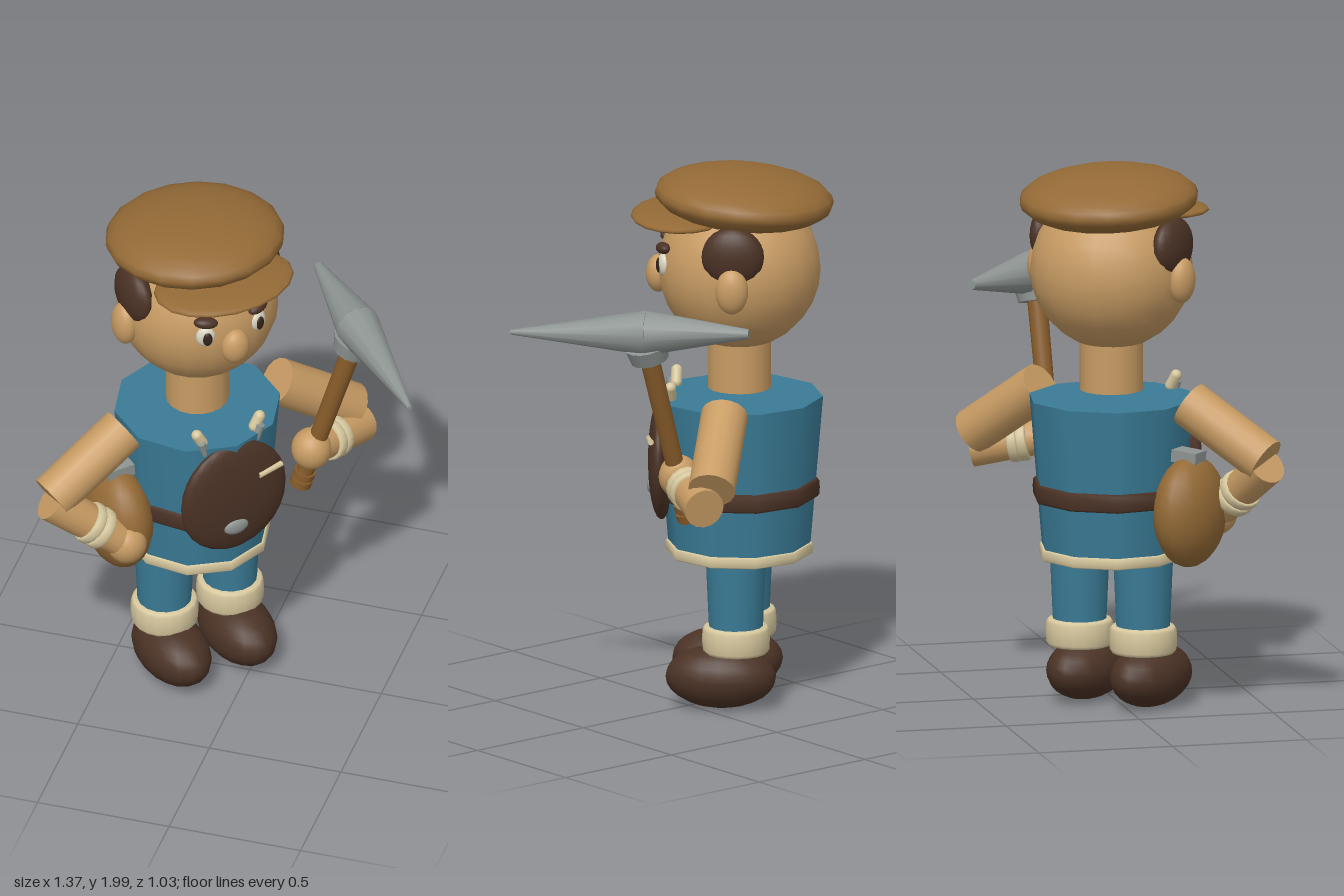
import * as THREE from 'three';

const mat = (name, color) => {
  const m = new THREE.MeshStandardMaterial({ color });
  m.name = name;
  return m;
};

export function createModel() {
  const skin = mat('skin', 0xc79b63);
  const capBrown = mat('capBrown', 0x946a36);
  const blue = mat('blue', 0x3a7b96);
  const leather = mat('leather', 0x4b3225);
  const cream = mat('cream', 0xd6c79d);
  const steel = mat('steel', 0x8d9492);
  const wood = mat('wood', 0x885c2a);
  const eyeWhite = mat('eyeWhite', 0xd9d4c2);
  const dark = mat('dark', 0x35231b);

  const model = new THREE.Group();
  const body = new THREE.Group();
  body.name = 'figure';
  body.position.set(-0.21, 0, -0.035);
  body.rotation.y = Math.PI / 4;
  model.add(body);

  const V = (a) => new THREE.Vector3(...a);
  const add = (name, geometry, material, pos = [0, 0, 0], rot = [0, 0, 0]) => {
    const m = new THREE.Mesh(geometry, material);
    m.name = name;
    m.position.set(...pos);
    m.rotation.set(...rot);
    body.add(m);
    return m;
  };
  // ellipsoid with three radii
  const ball = (name, material, pos, r, rot, seg = 18) =>
    add(name, new THREE.SphereGeometry(1, seg, 14).scale(...r), material, pos, rot);
  // tapered cylinder from point a to point b
  const rod = (name, material, a, b, ra, rb, seg = 16) => {
    const p = V(a), d = V(b).sub(p);
    const m = add(name, new THREE.CylinderGeometry(rb, ra, d.length(), seg), material);
    m.position.copy(p).addScaledVector(d, 0.5);
    m.quaternion.setFromUnitVectors(new THREE.Vector3(0, 1, 0), d.normalize());
    return m;
  };
  // closed ring with a rounded section: radius, half thickness, half height
  const ringGeo = (r, t, h, seg) => {
    const pts = [];
    for (let i = 0; i <= 12; i++) {
      const a = -Math.PI + (i / 12) * Math.PI * 2;
      const sq = (v) => Math.sign(v) * Math.sqrt(Math.abs(v));
      pts.push(new THREE.Vector2(r + t * sq(Math.cos(a)), h * sq(Math.sin(a))));
    }
    return new THREE.LatheGeometry(pts, seg);
  };

  // torso
  add('shirt', new THREE.CylinderGeometry(0.306, 0.258, 0.575, 10), blue, [0, 0.863, 0]);
  add('shirtHem', ringGeo(0.25, 0.02, 0.022, 10), cream, [0, 0.58, 0]);
  add('belt', ringGeo(0.268, 0.026, 0.036, 10), leather, [0, 0.808, 0]);
  add('neck', new THREE.CylinderGeometry(0.115, 0.115, 0.2, 18), skin, [0, 1.28, 0]);

  // leather bib with its fittings
  ball('bib', leather, [0, 0.915, 0.28], [0.215, 0.235, 0.05], undefined, 24);
  ball('bibButton', steel, [-0.01, 0.803, 0.32], [0.05, 0.033, 0.018]);
  rod('bibPin', cream, [0.085, 1.0, 0.322], [0.185, 1.01, 0.306], 0.011, 0.011, 8);

  // head and face
  ball('head', skin, [0, 1.63, 0], [0.297, 0.297, 0.297], undefined, 20);
  ball('nose', skin, [0, 1.6, 0.295], [0.055, 0.07, 0.046]);
  ball('cap', capBrown, [0, 1.893, -0.018], [0.328, 0.103, 0.328], [-0.08, 0, 0]);
  ball('capBrim', capBrown, [0, 1.825, 0.205], [0.27, 0.03, 0.19]);

  for (const s of [-1, 1]) {
    const side = s > 0 ? 'left' : 'right';
    ball(side + 'Ear', skin, [s * 0.3, 1.615, 0], [0.045, 0.085, 0.06]);
    ball(side + 'Hair', leather, [s * 0.26, 1.735, 0], [0.055, 0.11, 0.115]);
    ball(side + 'Eye', eyeWhite, [s * 0.107, 1.66, 0.266], [0.036, 0.042, 0.022], [0, s * 0.38, 0]);
    ball(side + 'Pupil', dark, [s * 0.108, 1.658, 0.284], [0.018, 0.028, 0.01], [0, s * 0.38, 0]);
    ball(side + 'Brow', leather, [s * 0.107, 1.722, 0.268], [0.045, 0.021, 0.025], [0, s * 0.38, s * 0.1]);

    // legs and boots
    add(side + 'Leg', new THREE.CylinderGeometry(0.112, 0.096, 0.36, 16), blue, [s * 0.135, 0.43, 0]);
    add(side + 'Cuff', ringGeo(0.092, 0.032, 0.052, 18), cream, [s * 0.135, 0.267, 0]);
    ball(side + 'Boot', leather, [s * 0.135, 0.125, 0.055], [0.126, 0.116, 0.203]);

    // small tools standing in the bib
    add(side + 'ToolHandle', new THREE.CapsuleGeometry(0.021, 0.045, 4, 10), cream,
      [s * 0.118, 1.182, 0.24], [0, 0, -s * 0.5]);
    rod(side + 'ToolFerrule', steel, [s * 0.105, 1.12, 0.255], [s * 0.122, 1.178, 0.262], 0.016, 0.016, 8);
  }

  // arms: upper arm, forearm, wrist band, hand
  const arm = (side, shoulder, elbow, foreStart, hand) => {
    rod(side + 'UpperArm', skin, shoulder, elbow, 0.086, 0.086);
    rod(side + 'Forearm', skin, foreStart, hand, 0.074, 0.062);
    const dir = V(hand).sub(V(foreStart));
    const q = new THREE.Quaternion().setFromUnitVectors(
      new THREE.Vector3(0, 1, 0), dir.clone().normalize());
    [0.53, 0.65].forEach((t, i) => {
      const band = add(side + 'WristBand', ringGeo(0.058, 0.022, 0.02, 16), cream);
      band.position.copy(V(foreStart)).addScaledVector(dir, t);
      band.quaternion.copy(q);
    });
    ball(side + 'Hand', skin, hand, [0.074, 0.08, 0.074]);
  };
  arm('right', [-0.315, 1.155, 0.025], [-0.625, 0.97, 0.05], [-0.63, 0.955, 0.05], [-0.365, 0.735, 0.14]);
  arm('left', [0.315, 1.155, 0.025], [0.615, 0.95, 0.045], [0.635, 0.885, 0.07], [0.371, 0.935, 0.187]);

  // hip bag with a tool head poking out
  ball('hipBag', capBrown, [-0.332, 0.76, 0.005], [0.115, 0.205, 0.18]);
  add('bagToolHead', new THREE.BoxGeometry(0.11, 0.045, 0.075), steel, [-0.325, 0.965, 0], [0, 0, 0.06]);
  add('bagToolNeck', new THREE.BoxGeometry(0.06, 0.06, 0.045), steel, [-0.33, 0.935, 0]);

  // pickaxe, placed from points in the model frame
  const L = (x, y, z) => {
    const dx = x + 0.21, dz = z + 0.035, k = Math.SQRT1_2;
    return [(dx - dz) * k, y, (dx + dz) * k];
  };
  const onHandle = (t) => L(0.14 + 0.21 * t, 0.76 + 0.7 * t, -0.165 - 0.015 * t);
  rod('pickHandle', wood, onHandle(0), onHandle(1), 0.032, 0.037, 14);
  for (const t of [0.01, 0.06]) {
    rod('pickGrip', wood, onHandle(t), onHandle(t + 0.04), 0.04, 0.04, 14);
  }
  rod('pickCollar', steel, onHandle(0.92), onHandle(1.0), 0.07, 0.082, 14);
  const mid = L(0.353, 1.508, -0.19);
  rod('pickShortPoint', steel, mid, L(0.115, 1.522, -0.48), 0.083, 0.018, 12);
  rod('pickLongPoint', steel, mid, L(0.672, 1.485, 0.205), 0.083, 0.009, 12);

  return model;
}
